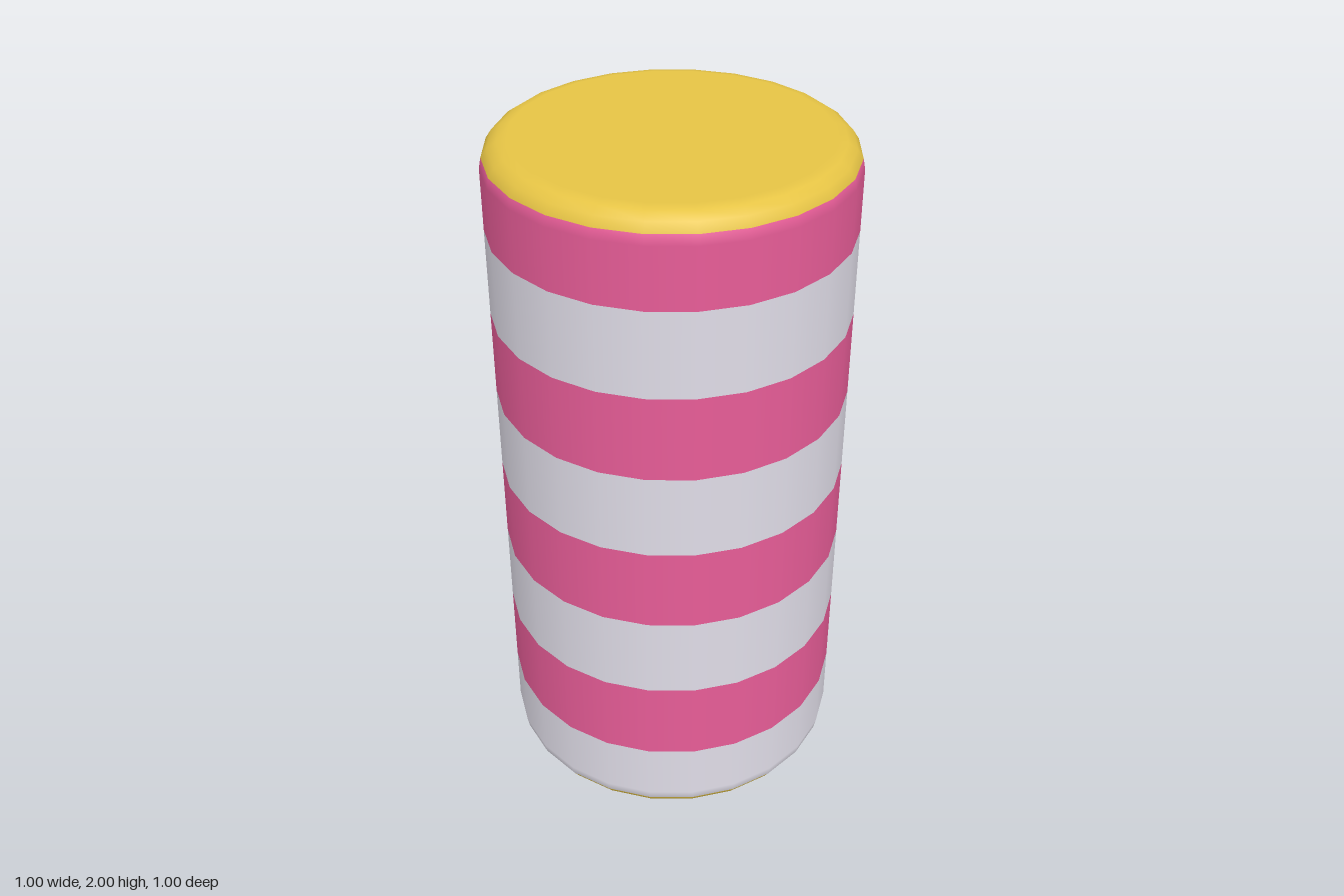
import * as THREE from 'three';

const R = 0.5, H = 2, BEVEL = 0.075, SIDES = 24, STEPS = 4;

const mat = (name, color) => {
  const m = new THREE.MeshStandardMaterial({ color });
  m.name = name;
  return m;
};

// Point on the rounded upper rim; step 0 is the wall, STEPS is the flat top.
function rim(step) {
  const a = (step / STEPS) * Math.PI / 2;
  return [R - BEVEL + BEVEL * Math.cos(a), H - BEVEL + BEVEL * Math.sin(a)];
}

const flip = ([r, y]) => [r, H - y];

// Lathed ring whose normals stay continuous from one band to the next.
function band(name, profile, material) {
  const geo = new THREE.LatheGeometry(profile.map(p => new THREE.Vector2(...p)), SIDES);
  const { position, normal } = geo.attributes;
  const n = new THREE.Vector3();
  for (let i = 0; i < position.count; i++) {
    n.fromBufferAttribute(position, i);
    const r = Math.hypot(n.x, n.z);
    const out = r > 0 ? Math.max(0, r - (R - BEVEL)) / r : 0;
    n.set(n.x * out, n.y - THREE.MathUtils.clamp(n.y, BEVEL, H - BEVEL), n.z * out).normalize();
    normal.setXYZ(i, n.x, n.y, n.z);
  }
  const mesh = new THREE.Mesh(geo, material);
  mesh.name = name;
  return mesh;
}

export function createModel() {
  const pink = mat('pink', 0xe85d98);
  const white = mat('white', 0xe0dde8);
  const gold = mat('gold', 0xe6c445);
  const group = new THREE.Group();
  group.name = 'stripedPillar';

  // Eight equal stripes; the end ones run onto the first step of the rim.
  for (let i = 0; i < 8; i++) {
    const profile = [[R, i * 0.25], [R, (i + 1) * 0.25]];
    if (i === 0) profile.splice(0, 1, flip(rim(1)), flip(rim(0)));
    if (i === 7) profile.splice(1, 1, rim(0), rim(1));
    group.add(band(`stripe${i + 1}`, profile, i % 2 ? pink : white));
  }

  // Rounded gold caps
  const cap = [];
  for (let s = 1; s <= STEPS; s++) cap.push(rim(s));
  cap.push([0, H]);
  group.add(band('topCap', cap, gold));
  group.add(band('bottomCap', cap.map(flip).reverse(), gold));
  return group;
}
